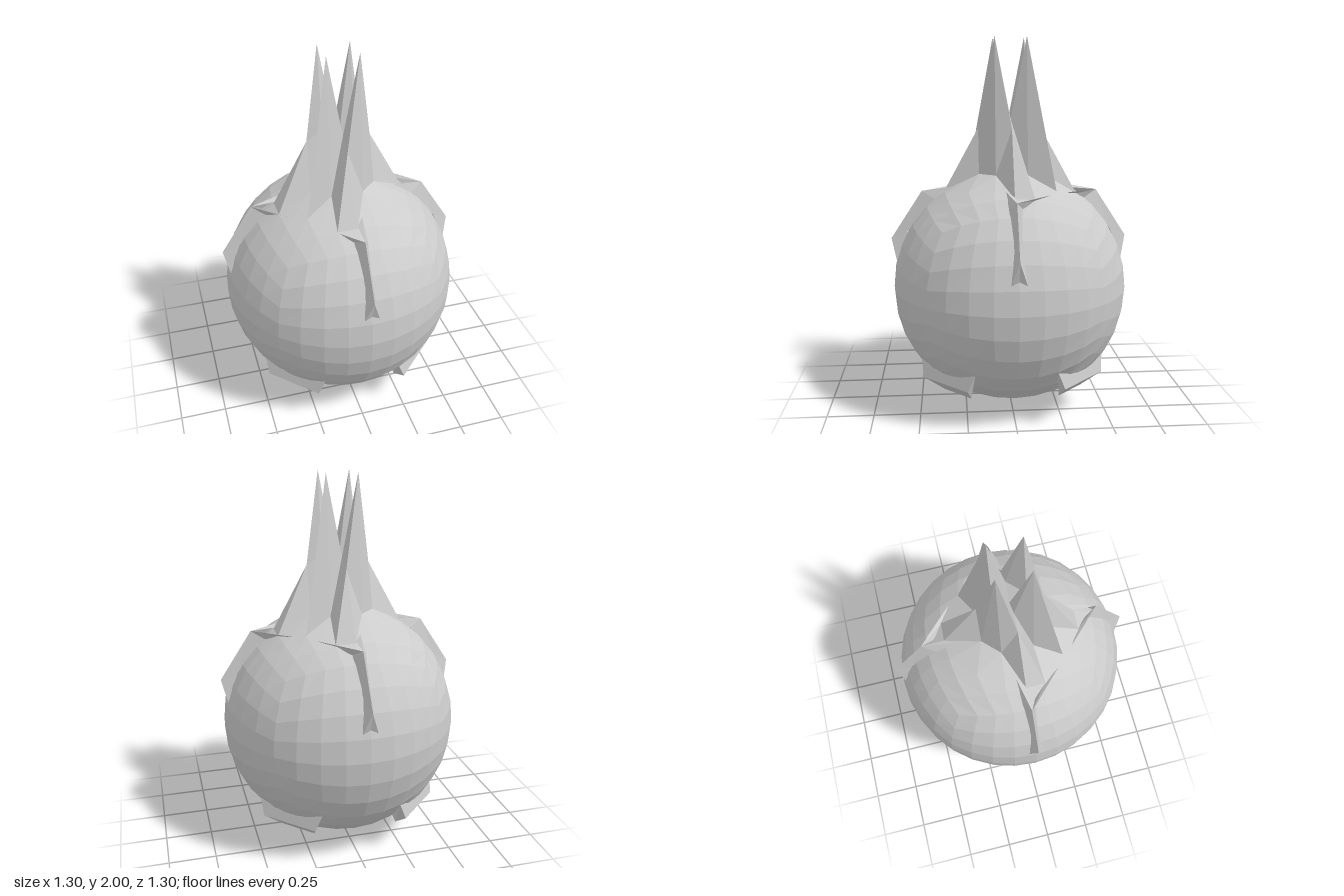
import * as THREE from 'three';
import { ConvexGeometry } from 'three/addons/geometries/ConvexGeometry.js';

const CENTRE = 0.65, RADIUS = 0.64;

// Crown heights by grid position (smaller index, larger index)
const CROWN_Y = { '00': 1.5, '01': 1.57, '11': 2, '02': 1.52, '12': 1.28 };

function shapeTop(p, i, j) {
  const a = Math.abs(i), b = Math.abs(j), m = Math.max(a, b);
  if (m > 2 || (a === 2 && b === 2)) return;
  p.set(i * 0.085, CROWN_Y[`${Math.min(a, b)}${m}`], j * 0.085);
}

// Hollow underside with a long spike hanging from its middle
function shapeBottom(p, i, j) {
  const a = Math.abs(i), b = Math.abs(j), m = Math.max(a, b);
  if (m > 2) return;
  if (a === 2 && b === 2) p.set(Math.sign(i) * 0.25, 0.12, Math.sign(j) * 0.25);
  else if (m === 2) p.y = 0.25;
  else if (m === 1) p.set(i * 0.11, 0.36, j * 0.11);
  else p.set(0, 0, 0);
}

// Cube projected to a ball, with the crown and underside pulled out of its grid
function bodyGeometry() {
  const geo = new THREE.BoxGeometry(2, 2, 2, 8, 8, 8);
  const pos = geo.attributes.position;
  const p = new THREE.Vector3();
  const warp = (u) => Math.tan(u * Math.PI / 4);
  for (let n = 0; n < pos.count; n++) {
    const u = pos.getX(n), v = pos.getY(n), w = pos.getZ(n);
    p.set(warp(u), warp(v), warp(w)).setLength(RADIUS);
    p.y += CENTRE;
    const i = Math.round(u * 4), j = Math.round(w * 4);
    if (v > 0.99) shapeTop(p, i, j);
    if (v < -0.99) shapeBottom(p, i, j);
    pos.setXYZ(n, p.x, p.y, p.z);
  }
  geo.computeVertexNormals();
  return geo;
}

// Side fin: a raised ridge with a forked tail and two uneven barbs
function finGeometry(map) {
  const P = [0, 1.18, 0.48], Q = [0, 0.92, 0.65], tail = [0, 0.82, 0.62];
  const tris = [];
  for (const s of [-1, 1]) {
    const shoulder = [s * 0.035, 1.14, 0.41], waist = [s * 0.02, 0.96, 0.56];
    const fork = [s * 0.04, 0.8, 0.62];
    tris.push([P, shoulder, waist], [P, waist, Q], [Q, waist, fork], [Q, fork, tail]);
  }
  tris.push(
    [P, [-0.19, 1.19, 0.29], [-0.11, 1.17, 0.34]],
    [P, [-0.11, 1.17, 0.34], [-0.035, 1.14, 0.41]],
    [P, [0.04, 1.21, 0.3], [0, 1.19, 0.35]],
    [P, [0.04, 1.21, 0.3], [0.035, 1.14, 0.41]],
  );
  const flat = tris.flat().flatMap(([x, y, z]) => map(x, y, z));
  const geo = new THREE.BufferGeometry();
  geo.setAttribute('position', new THREE.Float32BufferAttribute(flat, 3));
  geo.computeVertexNormals();
  return geo;
}

// Faceted claw sitting on a lower diagonal corner
function clawGeometry(sx, sz) {
  const half = [[0.21, 0.31, 0.49], [0.25, 0.21, 0.48], [0.23, 0.13, 0.37], [0.25, 0.11, 0.25]];
  const points = half.flatMap(([a, y, b]) => [
    new THREE.Vector3(a * sx, y, b * sz),
    new THREE.Vector3(b * sx, y, a * sz),
  ]).slice(0, 7);
  return new ConvexGeometry(points);
}

export function createModel() {
  const group = new THREE.Group();
  const material = new THREE.MeshStandardMaterial({
    color: 0xcccccc, flatShading: true, side: THREE.DoubleSide,
  });
  const add = (name, geo) => {
    const mesh = new THREE.Mesh(geo, material);
    mesh.name = name;
    group.add(mesh);
  };

  add('bodyWithCrown', bodyGeometry());

  // Fins on the four sides, mirrored across the diagonal
  add('frontFin', finGeometry((x, y, z) => [x, y, z]));
  add('backFin', finGeometry((x, y, z) => [-x, y, -z]));
  add('leftFin', finGeometry((x, y, z) => [z, y, x]));
  add('rightFin', finGeometry((x, y, z) => [-z, y, -x]));

  // Claws on the four diagonals
  for (const sx of [-1, 1]) {
    for (const sz of [-1, 1]) {
      add(`${sz > 0 ? 'front' : 'back'}${sx > 0 ? 'Left' : 'Right'}Claw`, clawGeometry(sx, sz));
    }
  }
  return group;
}
